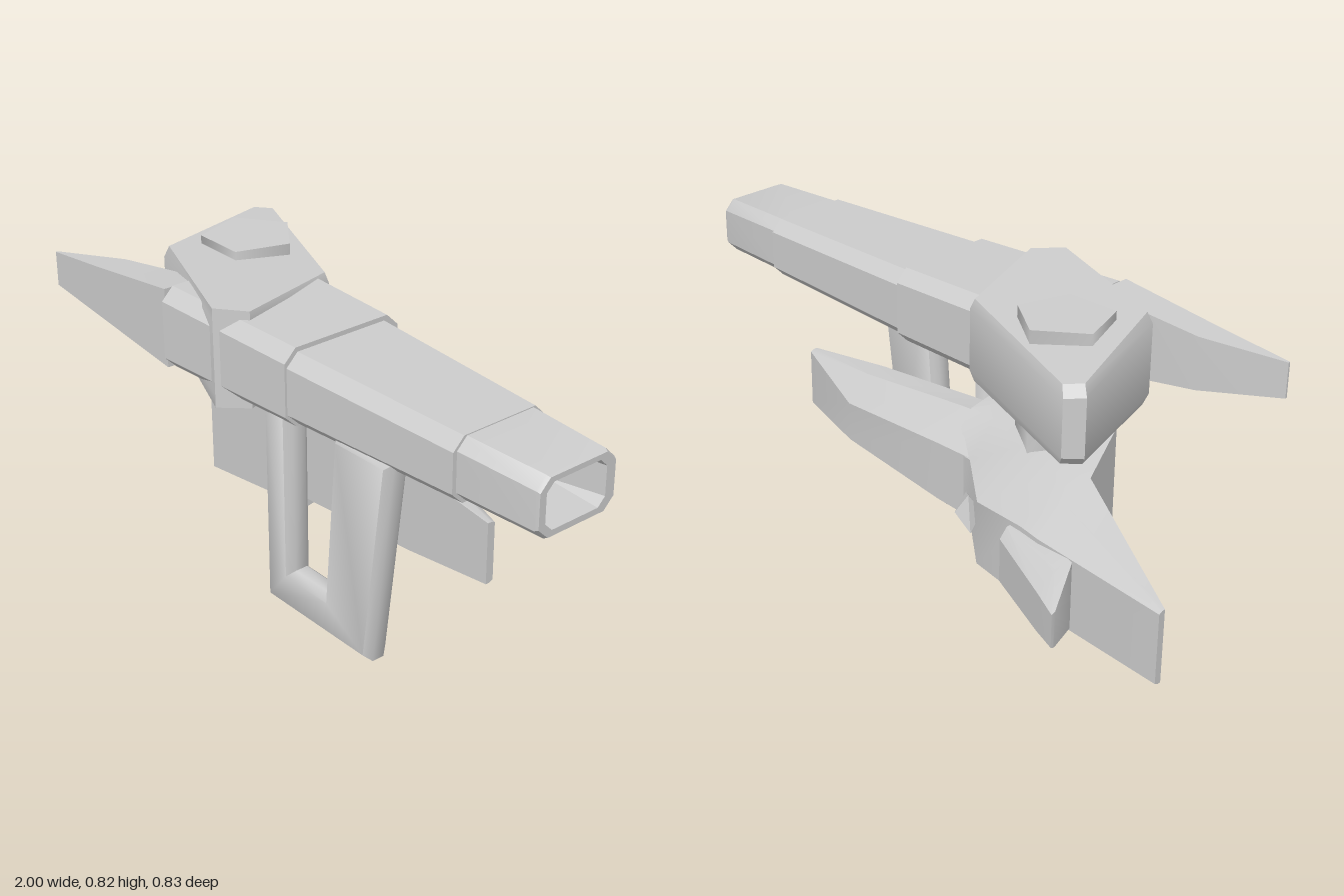
import * as THREE from 'three';
import { toCreasedNormals } from 'three/addons/utils/BufferGeometryUtils.js';

const CREASE = 0.6;
const HULL_Y = 0.295;

// Skins a list of convex rings (arrays of [x, y, z]) and caps both ends.
function loft(rings) {
  const n = rings[0].length;
  const tris = [];
  for (let r = 0; r < rings.length - 1; r++) {
    for (let i = 0; i < n; i++) {
      const j = (i + 1) % n;
      const a = rings[r][i], b = rings[r][j], c = rings[r + 1][j], d = rings[r + 1][i];
      tris.push([a, b, c], [a, c, d]);
    }
  }
  const first = rings[0], last = rings[rings.length - 1];
  for (let i = 1; i < n - 1; i++) {
    tris.push([first[0], first[i + 1], first[i]], [last[0], last[i], last[i + 1]]);
  }
  // Turn every triangle outwards if the enclosed volume is negative
  let volume = 0;
  for (const [a, b, c] of tris) {
    volume += new THREE.Vector3(...a).dot(new THREE.Vector3(...b).cross(new THREE.Vector3(...c)));
  }
  if (volume < 0) tris.forEach((t) => t.reverse());
  const geo = new THREE.BufferGeometry();
  geo.setAttribute('position', new THREE.Float32BufferAttribute(tris.flat(2), 3));
  return toCreasedNormals(geo, CREASE);
}

// Rectangle with cut corners across the x axis
function boxRing(x, z0, z1, y0, y1, c) {
  return [
    [x, y0, z0 + c], [x, y0 + c, z0], [x, y1 - c, z0], [x, y1, z0 + c],
    [x, y1, z1 - c], [x, y1 - c, z1], [x, y0 + c, z1], [x, y0, z1 - c],
  ];
}

// Hull section: half heights at a front, middle and back depth
function hullRing([x, zF, hF, zM, hM, zB, hB]) {
  const up = [[zF, hF], [zM, hM], [zB, hB]];
  return [
    ...up.map(([z, h]) => [x, HULL_Y + h, z]),
    ...up.reverse().map(([z, h]) => [x, HULL_Y - h, z]),
  ];
}

export function createModel() {
  const group = new THREE.Group();
  const grey = new THREE.MeshStandardMaterial({ color: 0xcccccc });
  grey.name = 'light grey';
  const add = (name, geo) => {
    const mesh = new THREE.Mesh(geo, grey);
    mesh.name = name;
    group.add(mesh);
    return mesh;
  };

  // Barrel in three stepped lengths, the last with a hollow mouth
  add('barrelBase', loft([
    boxRing(-0.29, 0.02, 0.415, 0.555, 0.787, 0.035),
    boxRing(0.19, 0.028, 0.392, 0.562, 0.778, 0.035),
  ]));
  add('barrelMiddle', loft([
    boxRing(0.15, 0.036, 0.388, 0.567, 0.766, 0.035),
    boxRing(0.75, 0.067, 0.357, 0.582, 0.756, 0.033),
  ]));
  add('muzzle', loft([
    boxRing(0.7, 0.073, 0.348, 0.586, 0.754, 0.03),
    boxRing(0.985, 0.088, 0.334, 0.59, 0.75, 0.03),
    boxRing(0.995, 0.092, 0.33, 0.594, 0.746, 0.03),
    boxRing(0.995, 0.12, 0.31, 0.61, 0.732, 0.022),
    boxRing(0.85, 0.15, 0.28, 0.625, 0.712, 0.002),
  ]));

  // Tapered blade at the front right
  add('frontBlade', loft([
    [-0.82, 0.4, 0.62, 0.72], [-0.6, 0.32, 0.595, 0.745], [-0.29, 0.29, 0.56, 0.785],
  ].map(([x, z, y0, y1]) => [[x, y0, z], [x, y1, z], [x, y1, 0.406], [x, y0, 0.406]])));

  // Turret housing: plan outline, thicker to the front, edges sloped at the back
  const plan = [
    [-0.635, -0.15], [-0.595, -0.19], [-0.09, 0.02],
    [0, 0.35], [-0.07, 0.415], [-0.5, 0.26],
  ];
  add('turret', loft([[-1, 0.94], [-0.75, 1], [0.75, 1], [1, 0.94]].map(([t, s]) =>
    plan.map(([x, z]) => {
      const k = z > 0.3 ? 1 : s;
      const half = 0.107 + (z + 0.17) * 0.055;
      return [-0.3 + (x + 0.3) * k, 0.67 + t * half, 0.1 + (z - 0.1) * k];
    }))));

  // Five-sided pivot through the turret into the hull
  add('pivot', toCreasedNormals(
    new THREE.CylinderGeometry(0.131, 0.131, 0.355, 5, 1, false, Math.PI), 1.3,
  )).position.set(-0.38, 0.6415, 0.06);

  // Main hull with its swept wing
  add('hull', loft([
    [-1, -0.285, 0.1, -0.295, 0.1, -0.305, 0.095],
    [-0.59, -0.07, 0.193, -0.17, 0.165, -0.26, 0.1],
    [-0.52, 0.11, 0.24, -0.08, 0.195, -0.245, 0.1],
    [-0.35, 0.11, 0.219, -0.06, 0.185, -0.22, 0.09],
    [-0.18, 0.11, 0.197, 0.02, 0.175, -0.07, 0.087],
    [-0.09, 0.11, 0.186, 0.03, 0.172, -0.055, 0.085],
  ].map(hullRing)));
  add('hullArm', loft([
    [-0.2, 0.108, 0.165, 0.03, 0.171, -0.068, 0.09],
    [-0.05, 0.108, 0.155, 0.03, 0.165, -0.06, 0.085],
    [0.33, 0.108, 0.125, 0.045, 0.122, -0.03, 0.057],
    [0.62, 0.108, 0.088, 0.097, 0.088, 0.085, 0.083],
  ].map(hullRing)));

  // Rear pod, pointing outwards and back
  add('rearPod', loft([
    [-0.48, -0.2, 0.086, -0.25, 0.085, -0.275, 0.06],
    [-0.7, -0.25, 0.1, -0.32, 0.09, -0.382, 0.053],
    [-0.78, -0.408, 0.05, -0.414, 0.048, -0.42, 0.045],
  ].map(hullRing)));

  // Diamond stud on the back corner of the hull
  const stud = add('diamondStud', new THREE.OctahedronGeometry(1));
  stud.scale.set(0.108, 0.05, 0.035);
  stud.rotation.y = -0.75;
  stud.position.set(-0.262, HULL_Y, -0.16);

  // U-shaped grip under the barrel
  const grip = new THREE.Shape([
    [0.055, 0.6], [0.055, 0], [0.465, 0], [0.541, 0.6],
    [0.33, 0.6], [0.29, 0.12], [0.16, 0.12], [0.16, 0.6],
  ].map(([x, y]) => new THREE.Vector2(x, y)));
  const gripGeo = new THREE.ExtrudeGeometry(grip, {
    depth: 0.036, bevelEnabled: true, bevelThickness: 0.02,
    bevelSize: 0.018, bevelOffset: -0.018, bevelSegments: 1,
  });
  add('grip', toCreasedNormals(gripGeo, 0.9)).position.z = 0.308;

  return group;
}
